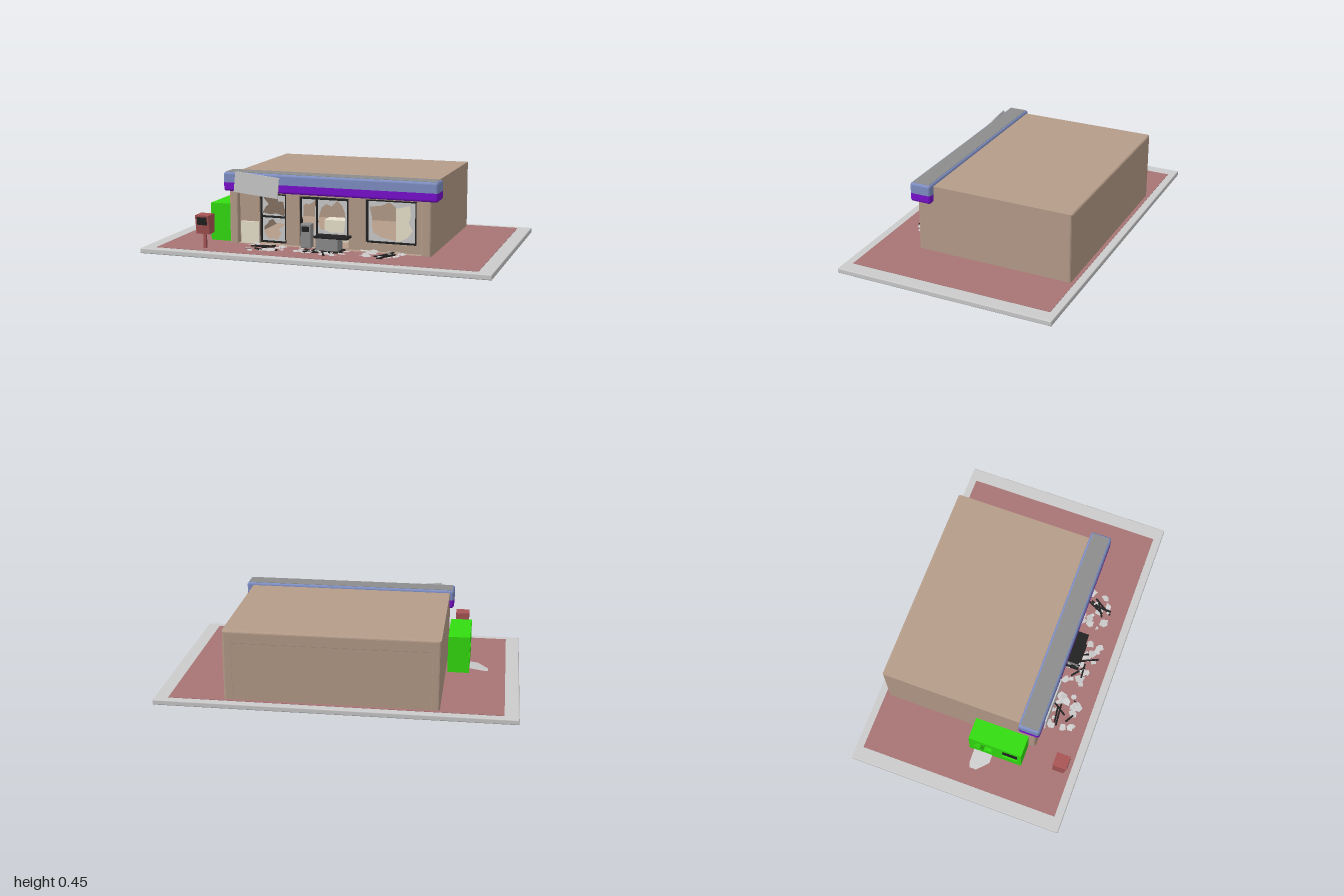
import * as THREE from 'three';
import { RoundedBoxGeometry } from 'three/addons/geometries/RoundedBoxGeometry.js';

const mat = (color) => new THREE.MeshStandardMaterial({ color, side: THREE.DoubleSide });
const M = {
  grey: mat(0xcccccc), steel: mat(0x8c8c8c), dark: mat(0x222222), wall: mat(0xb59c89), pad: mat(0xa87474),
  blue: mat(0x7f8fc4), purple: mat(0x7a10d0), green: mat(0x33dd11), red: mat(0xa85555), cream: mat(0xe9e2cc),
};

// Small seeded generator for breakage and litter
let seed = 7;
const rnd = (a = 0, b = 1) => {
  seed = (seed * 16807) % 2147483647;
  return a + (b - a) * (seed / 2147483647);
};

function add(parent, name, geometry, material) {
  const mesh = new THREE.Mesh(geometry, material);
  mesh.name = name;
  parent.add(mesh);
  return mesh;
}

// Box given by its extents
function block(parent, name, material, [x0, x1], [y0, y1], [z0, z1], radius = 0) {
  const size = [x1 - x0, y1 - y0, z1 - z0];
  const geo = radius ? new RoundedBoxGeometry(...size, 2, radius) : new THREE.BoxGeometry(...size);
  geo.translate((x0 + x1) / 2, (y0 + y1) / 2, (z0 + z1) / 2);
  return add(parent, name, geo, material);
}

const rect = (C, x0, x1, y0, y1) => new C([[x0, y0], [x1, y0], [x1, y1], [x0, y1]].map((p) => new THREE.Vector2(...p)));

// Star-like broken outline inside a rectangle
function jagged(C, x0, x1, y0, y1, n, min, max) {
  const pts = [];
  for (let i = 0; i < n; i++) {
    const a = (i / n) * Math.PI * 2, c = Math.cos(a), s = Math.sin(a);
    const r = rnd(min, max) / Math.max(Math.abs(c), Math.abs(s));
    pts.push(new THREE.Vector2((x0 + x1) / 2 + (c * r * (x1 - x0)) / 2, (y0 + y1) / 2 + (s * r * (y1 - y0)) / 2));
  }
  return new C(pts);
}

// Dark frame bars with a broken pane in each bay
function brokenWindow(parent, name, xs, ys, z, gap) {
  const g = new THREE.Group();
  g.name = name;
  parent.add(g);
  const t = 0.005, xe = [xs[0], xs.at(-1)], ye = [ys[0], ys.at(-1)];
  xs.forEach((x) => block(g, 'frameUpright', M.dark, [x - t, x + t], ye, [z - 0.01, z + 0.01]));
  ys.forEach((y) => block(g, 'frameRail', M.dark, xe, [y - t, y + t], [z - 0.01, z + 0.01]));
  for (let i = 0; i + 1 < xs.length; i++) {
    for (let j = 0; j + 1 < ys.length; j++) {
      const b = [xs[i], xs[i + 1], ys[j], ys[j + 1]];
      const pane = rect(THREE.Shape, ...b);
      pane.holes.push(jagged(THREE.Path, ...b, 15, gap, 0.97));
      add(g, 'brokenPane', new THREE.ShapeGeometry(pane).translate(0, 0, z), M.grey);
    }
  }
}

function buildStore(root) {
  const g = new THREE.Group();
  g.name = 'store';
  root.add(g);

  // Roof and side walls as one sleeve with softened edges
  const b = 0.012;
  const outer = rect(THREE.Shape, -0.575 + b, 0.61 - b, 0.02, 0.43 - b);
  outer.holes.push(rect(THREE.Path, -0.52 - b, 0.55 + b, 0.035 - b, 0.35 + b));
  const sleeve = new THREE.ExtrudeGeometry(outer, {
    depth: 0.915 - 2 * b, bevelThickness: b, bevelSize: b, bevelSegments: 3,
  });
  add(g, 'wallsAndRoof', sleeve.translate(0, 0, -0.57 + b), M.wall);
  block(g, 'backWall', M.wall, [-0.54, 0.57], [0.02, 0.37], [-0.5695, -0.53]);

  // Recessed front with a doorway and two windows
  const front = rect(THREE.Shape, -0.53, 0.56, 0.03, 0.36);
  [[-0.4, -0.24, 0.035, 0.325], [-0.16, 0.13, 0.04, 0.325], [0.23, 0.52, 0.08, 0.325]].forEach((o) =>
    front.holes.push(rect(THREE.Path, ...o)));
  add(g, 'frontWall', new THREE.ExtrudeGeometry(front, { depth: 0.04, bevelEnabled: false }).translate(0, 0, 0.28), M.wall);
  brokenWindow(g, 'brokenDoor', [-0.395, -0.245], [0.045, 0.19, 0.32], 0.3, 0.35);
  brokenWindow(g, 'middleWindow', [-0.155, -0.06, 0.125], [0.09, 0.31], 0.3, 0.6);
  brokenWindow(g, 'sideWindow', [0.235, 0.515], [0.085, 0.32], 0.3, 0.55);

  // Fittings behind and beside the openings
  block(g, 'counter', M.cream, [-0.07, 0.14], [0.03, 0.16], [0.06, 0.15]);
  block(g, 'cooler', M.cream, [0.36, 0.52], [0.03, 0.33], [0.05, 0.16]);
  block(g, 'doorsideBin', M.cream, [-0.51, -0.4], [0.03, 0.16], [0.3, 0.335]);

  // Two-tone canopy, each half a rounded box cut at mid height
  [['canopyLower', M.purple, 0, 0.385], ['canopyUpper', M.blue, 0.385, 1]].forEach(([name, m, lo, hi]) => {
    const p = block(g, name, m, [-0.6, 0.65], [0.335, 0.445], [0.245, 0.37], 0.015).geometry.attributes.position;
    for (let i = 0; i < p.count; i++) p.setY(i, THREE.MathUtils.clamp(p.getY(i), lo, hi));
  });
  block(g, 'canopyTop', M.steel, [-0.588, 0.638], [0.44, 0.446], [0.257, 0.358]);
  const sign = add(g, 'looseSignPanel', new THREE.BoxGeometry(0.265, 0.118, 0.008), M.grey);
  sign.position.set(-0.394, 0.38, 0.378);
  sign.rotation.z = -0.1;
}

function buildIceChest(root) {
  const g = new THREE.Group();
  g.name = 'iceChest';
  root.add(g);
  // Drawn in z and y, then turned so that the doors face -x
  const face = rect(THREE.Shape, -0.01, 0.305, 0.03, 0.25);
  face.holes.push(jagged(THREE.Path, 0.01, 0.155, 0.05, 0.23, 11, 0.4, 0.98), rect(THREE.Path, 0.19, 0.28, 0.1, 0.21));
  const shell = new THREE.ExtrudeGeometry(face, { depth: 0.12, bevelEnabled: false });
  add(g, 'chestBody', shell.rotateY(-Math.PI / 2).translate(-0.59, 0, 0), M.green);
  block(g, 'chestBack', M.green, [-0.6, -0.585], [0.03, 0.25], [-0.01, 0.305]);
  block(g, 'chestDoorPanel', M.dark, [-0.7, -0.69], [0.1, 0.21], [0.19, 0.28]);
  const shard = new THREE.ShapeGeometry(new THREE.Shape([
    [0, 0.03], [0.03, 0.02], [0.11, 0.02], [0.11, 0.13], [0.06, 0.13], [0, 0.07]].map((p) => new THREE.Vector2(...p))));
  const fallen = add(g, 'fallenShard', shard.rotateX(Math.PI / 2), M.grey);
  fallen.position.set(-0.82, 0.034, 0);
  fallen.rotation.z = 0.15;
}

function buildNewsBox(root) {
  const g = new THREE.Group();
  g.name = 'newsBox';
  root.add(g);
  block(g, 'post', M.red, [-0.656, -0.64], [0.03, 0.12], [0.513, 0.529]);
  // Case side outline in z and y, wider at the top
  const side = new THREE.Shape([[0.486, 0.118], [0.55, 0.118], [0.566, 0.225], [0.484, 0.225]].map((p) => new THREE.Vector2(...p)));
  const body = new THREE.ExtrudeGeometry(side, { depth: 0.08, bevelEnabled: false });
  add(g, 'case', body.rotateY(-Math.PI / 2).translate(-0.607, 0, 0), M.red);
  const pane = add(g, 'casePane', new THREE.BoxGeometry(0.058, 0.045, 0.004), M.dark);
  pane.position.set(-0.647, 0.192, 0.562);
  pane.rotation.x = 0.15;
}

function buildMachines(root) {
  const g = new THREE.Group();
  g.name = 'machines';
  root.add(g);
  block(g, 'standingMachine', M.steel, [-0.145, -0.08], [0.03, 0.17], [0.3, 0.35], 0.006);
  block(g, 'machineScreen', M.dark, [-0.135, -0.09], [0.125, 0.155], [0.345, 0.352]);
  block(g, 'lowCabinet', M.steel, [-0.03, 0.1], [0.03, 0.105], [0.335, 0.415]);
  block(g, 'cabinetTop', M.dark, [-0.04, 0.155], [0.108, 0.118], [0.335, 0.42]);
  block(g, 'cabinetFoot', M.dark, [-0.05, 0.12], [0.03, 0.04], [0.34, 0.425]);
}

// Flat glass pieces and bent frame bars in front of each opening
function buildLitter(root) {
  const g = new THREE.Group();
  g.name = 'litter';
  root.add(g);
  [[-0.32, 0.11, 0.44], [0, 0.14, 0.43], [0.34, 0.12, 0.42]].forEach(([cx, spread, cz]) => {
    for (let i = 0; i < 24; i++) {
      const r = rnd(0.012, 0.034);
      const piece = add(g, 'glassPiece', new THREE.ShapeGeometry(jagged(THREE.Shape, -r, r, -r, r, 5, 0.5, 1)).rotateX(-Math.PI / 2), M.grey);
      piece.position.set(cx + rnd(-spread, spread), rnd(0.033, 0.045), cz + rnd(-0.09, 0.07));
      piece.rotation.set(rnd(-0.2, 0.2), rnd(0, 6), rnd(-0.2, 0.2));
    }
    for (let i = 0; i < 5; i++) {
      const bar = add(g, 'frameBar', new THREE.BoxGeometry(rnd(0.05, 0.14), 0.007, 0.01), M.dark);
      bar.position.set(cx + rnd(-0.06, 0.06), 0.038, cz + rnd(-0.05, 0.04));
      bar.rotation.y = rnd(0, 3);
    }
  });
}

export function createModel() {
  seed = 7;
  const root = new THREE.Group();
  root.name = 'ruinedStore';
  // Kerb slab and paved lot
  block(root, 'slab', M.grey, [-1, 1], [0, 0.03], [-0.633, 0.633], 0.006);
  block(root, 'pavedLot', M.pad, [-0.92, 0.92], [0.02, 0.032], [-0.59, 0.585]);
  buildStore(root);
  buildIceChest(root);
  buildNewsBox(root);
  buildMachines(root);
  buildLitter(root);
  return root;
}
